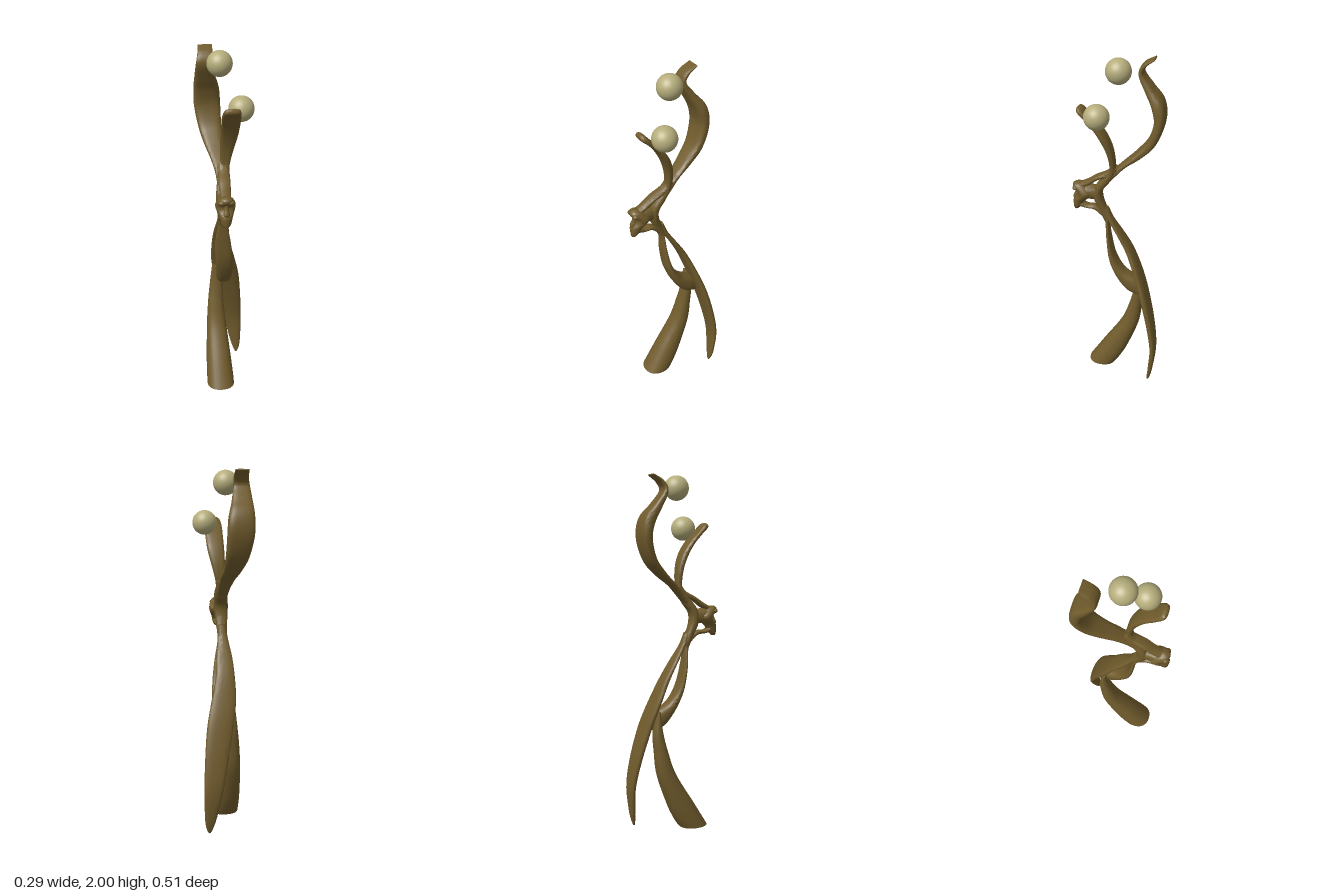
import * as THREE from 'three';
import { toCreasedNormals } from 'three/addons/utils/BufferGeometryUtils.js';

// Sweeps an oval section along a path. Each row: [x, y, z, half width, half thickness].
// level keeps the sections horizontal; power squares off the oval.
function ribbon(rows, { level = false, power = 2.5, steps = 56, sides = 28 } = {}) {
  const path = new THREE.CatmullRomCurve3(
    rows.map(r => new THREE.Vector3(r[0], r[1], r[2])), false, 'catmullrom', 0.5);
  const size = new THREE.CatmullRomCurve3(
    rows.map(r => new THREE.Vector3(r[3], r[4], 0)), false, 'catmullrom', 0.5);
  const round = v => Math.sign(v) * Math.pow(Math.abs(v), 2 / power);
  const pos = [], idx = [];
  for (let i = 0; i <= steps; i++) {
    const u = i / steps;
    const c = path.getPoint(u), s = size.getPoint(u), t = path.getTangent(u);
    const n = level
      ? new THREE.Vector3(0, 0, -Math.sign(t.y))
      : new THREE.Vector3(0, t.z, -t.y).normalize();
    for (let j = 0; j < sides; j++) {
      const a = j / sides * Math.PI * 2;
      const k = round(Math.sin(a)) * s.y;
      pos.push(c.x + round(Math.cos(a)) * s.x, c.y + n.y * k, c.z + n.z * k);
    }
  }
  for (let i = 0; i < steps; i++) {
    for (let j = 0; j < sides; j++) {
      const a = i * sides + j, b = i * sides + (j + 1) % sides;
      idx.push(a, b, b + sides, a, b + sides, a + sides);
    }
  }
  // End caps
  const start = pos.length / 3;
  pos.push(...path.getPoint(0).toArray(), ...path.getPoint(1).toArray());
  for (let j = 0; j < sides; j++) {
    const k = (j + 1) % sides, e = steps * sides;
    idx.push(start, k, j, start + 1, e + j, e + k);
  }
  const g = new THREE.BufferGeometry();
  g.setAttribute('position', new THREE.Float32BufferAttribute(pos, 3));
  g.setIndex(idx);
  return toCreasedNormals(g, 0.8);
}

export function createModel() {
  const group = new THREE.Group();
  const bronze = new THREE.MeshStandardMaterial({ color: 0x705b2c });
  bronze.name = 'bronze';
  const ivory = new THREE.MeshStandardMaterial({ color: 0xb5ad7c });
  ivory.name = 'ivory';

  const add = (name, geometry, material = bronze) => {
    const mesh = new THREE.Mesh(geometry, material);
    mesh.name = name;
    group.add(mesh);
    return mesh;
  };

  // Standing leg with a flared flat foot
  add('frontLeg', ribbon([
    [-0.035, 0.005, 0.1, 0.081, 0.084],
    [-0.036, 0.06, 0.066, 0.079, 0.084],
    [-0.038, 0.15, 0.017, 0.073, 0.078],
    [-0.04, 0.33, -0.07, 0.058, 0.054],
    [-0.04, 0.47, -0.104, 0.046, 0.038],
    [-0.035, 0.58, -0.12, 0.038, 0.028],
    [-0.03, 0.7, -0.117, 0.03, 0.01],
  ], { level: true, power: 2.3 }));

  // Long back strand ending in the trailing leg
  add('backLeg', ribbon([
    [-0.018, 1.13, 0.075, 0.022, 0.022],
    [-0.018, 1.06, 0.04, 0.03, 0.014],
    [-0.016, 0.97, -0.015, 0.045, 0.014],
    [-0.012, 0.87, -0.07, 0.054, 0.018],
    [0.006, 0.74, -0.122, 0.07, 0.02],
    [0.034, 0.6, -0.168, 0.074, 0.022],
    [0.061, 0.42, -0.212, 0.066, 0.021],
    [0.082, 0.25, -0.237, 0.053, 0.018],
    [0.097, 0.1, -0.227, 0.034, 0.014],
    [0.102, 0.035, -0.218, 0.02, 0.01],
    [0.102, 0.003, -0.212, 0.006, 0.005],
  ]));

  // Chest strand, looping forward around the open middle
  add('chest', ribbon([
    [-0.018, 1.14, 0.085, 0.022, 0.022],
    [-0.018, 1.06, 0.064, 0.026, 0.012],
    [-0.015, 0.94, 0.053, 0.044, 0.012],
    [-0.005, 0.82, 0.03, 0.05, 0.019],
    [0.003, 0.725, -0.018, 0.05, 0.03],
    [0.006, 0.655, -0.09, 0.046, 0.05],
    [0.008, 0.61, -0.15, 0.035, 0.034],
  ]));

  // Neck bending back behind the face
  add('neck', ribbon([
    [-0.018, 1.06, 0.058, 0.026, 0.022],
    [-0.02, 1.13, 0.088, 0.03, 0.022],
    [-0.02, 1.2, 0.113, 0.038, 0.025],
    [-0.018, 1.26, 0.107, 0.04, 0.024],
    [-0.012, 1.32, 0.065, 0.036, 0.023],
    [-0.01, 1.4, 0.012, 0.03, 0.014],
  ]));

  // Face with brow, nose notch and chin
  add('face', ribbon([
    [-0.018, 1.115, 0.241, 0.012, 0.012],
    [-0.018, 1.135, 0.234, 0.026, 0.022],
    [-0.018, 1.175, 0.22, 0.037, 0.036],
    [-0.018, 1.205, 0.194, 0.051, 0.04],
    [-0.018, 1.228, 0.188, 0.055, 0.044],
    [-0.018, 1.255, 0.208, 0.046, 0.048],
    [-0.018, 1.275, 0.222, 0.034, 0.034],
    [-0.018, 1.285, 0.225, 0.016, 0.016],
  ], { level: true, power: 2 }));
  add('nose', ribbon([
    [-0.018, 1.255, 0.225, 0.01, 0.014],
    [-0.018, 1.22, 0.232, 0.012, 0.015],
    [-0.018, 1.19, 0.245, 0.017, 0.014],
    [-0.018, 1.175, 0.24, 0.008, 0.008],
  ], { level: true, power: 2, steps: 24, sides: 16 }));
  for (const side of [-1, 1]) {
    const eye = add(side > 0 ? 'leftBrow' : 'rightBrow', new THREE.SphereGeometry(0.017, 20, 14));
    eye.position.set(-0.018 + side * 0.024, 1.256, 0.238);
    eye.scale.set(1.2, 0.75, 1);
  }

  // Struts joining face and neck, leaving small openings between
  add('middleStrut', ribbon([
    [-0.018, 1.228, 0.21, 0.05, 0.04],
    [-0.019, 1.23, 0.16, 0.04, 0.042],
    [-0.02, 1.225, 0.105, 0.034, 0.036],
  ], { steps: 20 }));
  add('upperStrut', ribbon([
    [-0.018, 1.265, 0.215, 0.028, 0.015],
    [-0.017, 1.295, 0.16, 0.03, 0.015],
    [-0.014, 1.328, 0.115, 0.032, 0.013],
    [-0.01, 1.36, 0.05, 0.03, 0.018],
    [-0.008, 1.41, 0.02, 0.024, 0.012],
  ], { steps: 32 }));
  add('lowerStrut', ribbon([
    [-0.018, 1.155, 0.225, 0.028, 0.018],
    [-0.018, 1.138, 0.18, 0.026, 0.011],
    [-0.018, 1.133, 0.13, 0.025, 0.013],
    [-0.018, 1.09, 0.075, 0.024, 0.016],
  ], { steps: 28 }));

  // Short arm curling forward
  add('frontArm', ribbon([
    [-0.008, 1.33, 0.05, 0.028, 0.016],
    [0.0, 1.4, 0.028, 0.027, 0.016],
    [0.01, 1.49, 0.036, 0.038, 0.018],
    [0.018, 1.57, 0.064, 0.047, 0.019],
    [0.02, 1.64, 0.108, 0.05, 0.016],
    [0.018, 1.695, 0.158, 0.05, 0.014],
    [0.018, 1.73, 0.193, 0.044, 0.017],
    [0.018, 1.742, 0.204, 0.032, 0.012],
    [0.018, 1.746, 0.208, 0.012, 0.005],
  ], { power: 2.8 }));

  // Tall arm sweeping back and up to a squared tip
  add('backArm', ribbon([
    [-0.014, 1.31, 0.07, 0.034, 0.018],
    [-0.02, 1.36, 0.022, 0.036, 0.016],
    [-0.032, 1.415, -0.034, 0.042, 0.014],
    [-0.048, 1.475, -0.108, 0.052, 0.02],
    [-0.06, 1.55, -0.175, 0.064, 0.025],
    [-0.07, 1.66, -0.212, 0.073, 0.029],
    [-0.075, 1.755, -0.2, 0.07, 0.034],
    [-0.086, 1.83, -0.153, 0.057, 0.024],
    [-0.092, 1.91, -0.107, 0.046, 0.014],
    [-0.087, 1.96, -0.125, 0.041, 0.011],
    [-0.083, 1.996, -0.177, 0.038, 0.004],
  ], { power: 3.2, steps: 72 }));

  // Floating balls
  const balls = [['upperBall', -0.025, 1.935, 0.002], ['lowerBall', 0.077, 1.72, 0.095]];
  for (const [name, x, y, z] of balls) {
    add(name, new THREE.SphereGeometry(0.068, 40, 28), ivory).position.set(x, y, z);
  }
  return group;
}
